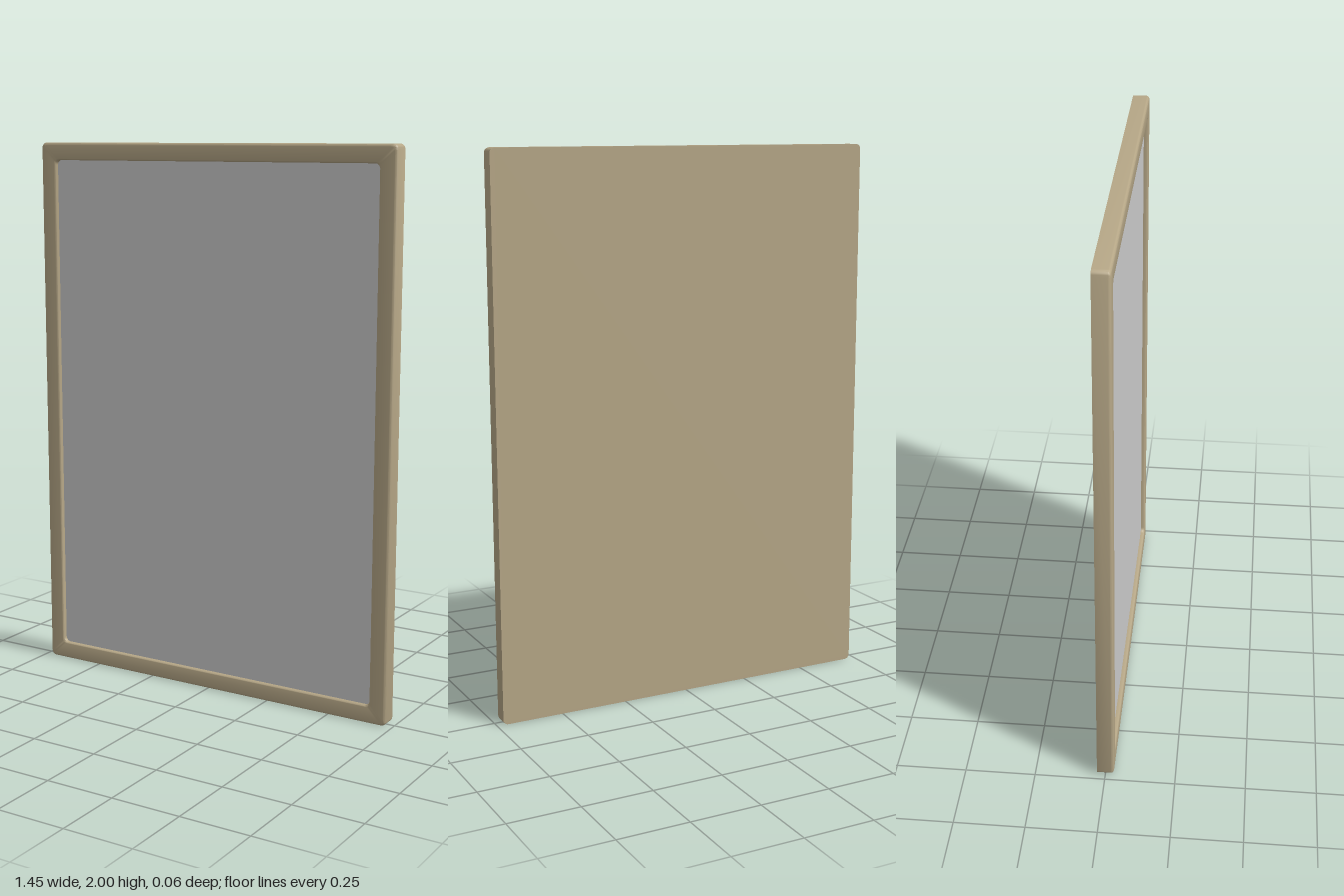
import * as THREE from 'three';
import { toCreasedNormals } from 'three/addons/utils/BufferGeometryUtils.js';

const W = 0.727, H = 1, Z = 0.03; // half width, half height, half depth
const BORDER = 0.064, RADIUS = 0.018, BEVEL = 0.01, LIP = 0.008;
const PANEL_Z = 0.014;

// Rounded rectangle, counter-clockwise from the front, inset from the outer edge
function ring(inset, steps = 5) {
  const points = [];
  const corners = [[1, 1], [-1, 1], [-1, -1], [1, -1]];
  corners.forEach(([sx, sy], q) => {
    for (let i = 0; i <= steps; i++) {
      const a = (q + i / steps) * Math.PI / 2;
      points.push(new THREE.Vector2(
        sx * (W - inset - RADIUS) + RADIUS * Math.cos(a),
        sy * (H - inset - RADIUS) + RADIUS * Math.sin(a)));
    }
  });
  return points;
}

// Border section as [inset, z]: outer wall, rounded edge, flat face, rounded lip, inner wall
function borderProfile() {
  const rows = [[0, -Z]];
  const n = 5;
  for (let i = 0; i <= n; i++) {
    const a = (i / n) * Math.PI / 2;
    rows.push([BEVEL * (1 - Math.cos(a)), Z - BEVEL * (1 - Math.sin(a))]);
  }
  for (let i = 0; i <= n; i++) {
    const a = (i / n) * Math.PI / 2;
    rows.push([BORDER - LIP * (1 - Math.sin(a)), Z - LIP * (1 - Math.cos(a))]);
  }
  rows.push([BORDER, PANEL_Z - 0.002]);
  return rows;
}

// Sweep the section around the rectangle
function borderGeometry() {
  const positions = [], index = [];
  const rows = borderProfile();
  const count = ring(0).length;
  rows.forEach(([inset, z]) => ring(inset).forEach(p => positions.push(p.x, p.y, z)));
  for (let r = 0; r < rows.length - 1; r++) {
    for (let i = 0; i < count; i++) {
      const j = (i + 1) % count;
      const a = r * count + i, b = r * count + j;
      index.push(a, b, b + count, a, b + count, a + count);
    }
  }
  const g = new THREE.BufferGeometry();
  g.setAttribute('position', new THREE.Float32BufferAttribute(positions, 3));
  g.setIndex(index);
  return toCreasedNormals(g, 0.5);
}

export function createModel() {
  const group = new THREE.Group();
  const frameMaterial = new THREE.MeshStandardMaterial({ color: 0xb5a686 });
  const panelMaterial = new THREE.MeshStandardMaterial({ color: 0xcccccc });

  const add = (name, geometry, material, z = 0) => {
    const mesh = new THREE.Mesh(geometry, material);
    mesh.name = name;
    mesh.position.set(0, H, z);
    group.add(mesh);
    return mesh;
  };

  add('frameBorder', borderGeometry(), frameMaterial);

  // Flat back, turned to face -z
  const back = add('frameBack', new THREE.ShapeGeometry(new THREE.Shape(ring(0))), frameMaterial, -Z);
  back.rotation.y = Math.PI;

  // Recessed front panel
  add('panel', new THREE.ShapeGeometry(new THREE.Shape(ring(BORDER))), panelMaterial, PANEL_Z);

  return group;
}
